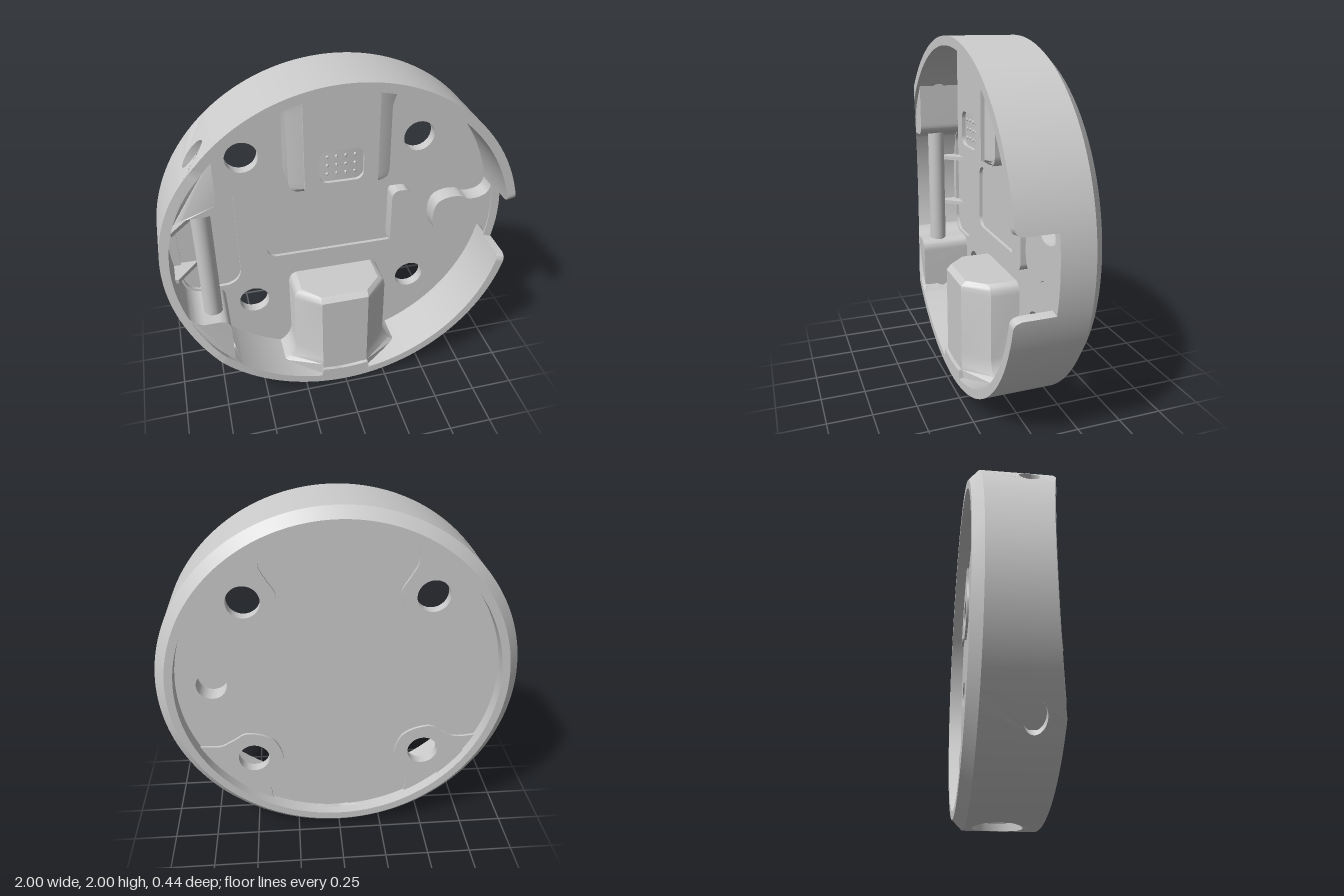
import * as THREE from 'three';
import { toCreasedNormals } from 'three/addons/utils/BufferGeometryUtils.js';

const FRONT = 0.22, BACK = -0.225, FLOOR = -0.1;
const material = new THREE.MeshStandardMaterial({ color: 0xcccccc });

// The front is cut down along a slanted plane towards -x
const slant = (x, z) => Math.min(z, 0.15 + 0.28 * (x + 1));

function remap(geometry, rule) {
  const p = geometry.attributes.position;
  for (let i = 0; i < p.count; i++) p.setXYZ(i, ...rule(p.getX(i), p.getY(i), p.getZ(i)));
  return geometry;
}

function mesh(name, geometry) {
  geometry.computeVertexNormals();
  const m = new THREE.Mesh(toCreasedNormals(geometry, 0.5), material);
  m.name = name;
  return m;
}

// Flat shape extruded from z0 to z1
function slab(name, shape, z0, z1) {
  const g = new THREE.ExtrudeGeometry(shape, { depth: z1 - z0, bevelEnabled: false, curveSegments: 48 });
  g.translate(0, 0, z0);
  return mesh(name, remap(g, (x, y, z) => [x, y, slant(x, z)]));
}

// Surface through closed cross-sections, with an optional cap on the first one
function loft(sections, cap) {
  const n = sections[0].length, index = [];
  for (let i = 0; i < sections.length - 1; i++) {
    for (let j = 0; j < n; j++) {
      const a = i * n + j, b = i * n + (j + 1) % n;
      index.push(a, a + n, b, b, a + n, b + n);
    }
  }
  if (cap) for (let j = 1; j < n - 1; j++) index.push(0, j, j + 1);
  const g = new THREE.BufferGeometry();
  g.setAttribute('position', new THREE.Float32BufferAttribute(sections.flat(2), 3));
  g.setIndex(index);
  return g;
}

const circle = (x, y, r) => new THREE.Shape().absarc(x, y, r, 0, Math.PI * 2);

function roundRect(x0, y0, x1, y1, r) {
  const s = new THREE.Shape();
  s.absarc(x1 - r, y1 - r, r, 0, Math.PI / 2);
  s.absarc(x0 + r, y1 - r, r, Math.PI / 2, Math.PI);
  s.absarc(x0 + r, y0 + r, r, Math.PI, Math.PI * 1.5);
  s.absarc(x1 - r, y0 + r, r, Math.PI * 1.5, Math.PI * 2);
  s.closePath();
  return s;
}

// Shape mirrored in y: spline through the half points, closed by an arc of radius r
function mirroredLobe(half, r) {
  const pts = half.concat(half.slice(0, -1).reverse().map(([x, y]) => [x, -y]));
  const curve = new THREE.SplineCurve(pts.map(([x, y]) => new THREE.Vector2(x, y)));
  const s = new THREE.Shape(curve.getPoints(64));
  const a = Math.atan2(half[0][1], half[0][0]);
  s.absarc(0, 0, r, -a, a);
  return s;
}

// Rim wall swept around the axis; lowered at the notch and where panels with holes sit
function rimWall(panels) {
  const spans = [[-0.2, 0.2, 0.01]];
  let from = 0.2;
  for (const { at, w } of panels) {
    spans.push([from, at - w, FRONT], [at - w, at + w, -0.17]);
    from = at + w;
  }
  spans.push([from, Math.PI * 2 - 0.2, FRONT], [Math.PI * 2 - 0.2, Math.PI * 2 - 0.2, 0.01]);
  const sections = [];
  for (const [a0, a1, front] of spans) {
    const n = Math.max(1, Math.ceil((a1 - a0) / 0.012));
    for (let i = 0; i <= n; i++) {
      const a = a0 + (a1 - a0) * i / n;
      const d = Math.min(Math.abs(a), Math.PI * 2 - a) - 0.2;
      let f = front;
      if (front === FRONT && d < 0.04) f -= 0.04 - Math.sqrt(Math.max(0, 0.0016 - (0.04 - d) ** 2));
      sections.push([[0.9, -0.12], [0.9, BACK], [0.945, BACK], [1, -0.17], [1, f], [0.95, f], [0.95, -0.12]]
        .map(([r, z]) => [r * Math.cos(a), r * Math.sin(a), slant(r * Math.cos(a), Math.min(z, f))]));
    }
  }
  return mesh('rimWall', loft(sections));
}

// Piece of rim wall with a hole, drawn flat and bent to the rim
function holePanel({ name, at, w, rx, rz, z, inner }) {
  const pts = [], n = 20;
  for (let i = 0; i <= n; i++) pts.push(new THREE.Vector2(-w + 2 * w * i / n, -0.17));
  for (let i = n; i >= 0; i--) pts.push(new THREE.Vector2(-w + 2 * w * i / n, FRONT));
  const s = new THREE.Shape(pts);
  s.holes.push(new THREE.Path().absellipse(0, z, rx, rz, 0, Math.PI * 2));
  const g = new THREE.ExtrudeGeometry(s, { depth: 1 - inner, bevelEnabled: false, curveSegments: 32 });
  return mesh(name, remap(g, (x, y, d) => {
    const px = (inner + d) * Math.cos(at + x), py = (inner + d) * Math.sin(at + x);
    return [px, py, slant(px, y)];
  }));
}

// Block running from a chamfered free end to the rim, where it flares out
function rimBlock(name, start, face, shoulder, top) {
  const stations = [[0, 0.235, 0.03], [0.015, 0.262, 0.015], [0.03, 0.272, 0], [0.06, 0.28, 0],
    [0.44, 0.28, 0], [0.49, 0.295, 0], [0.53, 0.325, 0], [0.56, 0.37, 0], [0.7, 0.37, 0]];
  const sections = stations.map(([d, w, drop]) =>
    [[w, FLOOR - 0.02], [w, shoulder], [face, top - drop], [-face, top - drop], [-w, shoulder], [-w, FLOOR - 0.02]]
      .map(([x, z]) => [x, Math.min(start + d, Math.sqrt(0.97 ** 2 - x * x)), z]));
  return mesh(name, loft(sections, true));
}

export function createModel() {
  const model = new THREE.Group();
  model.name = 'roundBaseHousing';
  const body = new THREE.Group();
  body.name = 'body';
  body.position.y = 1;
  model.add(body);

  // Rim with two pin holes and a socket opening
  const pinAngle = Math.atan2(0.66, -0.75);
  const pin = { w: 0.12, rx: 0.083, rz: 0.055, z: 0.08, inner: 0.95 };
  const panels = [
    { ...pin, name: 'upperPinHole', at: pinAngle },
    { ...pin, name: 'lowerPinHole', at: Math.PI * 2 - pinAngle },
    { name: 'socketOpening', at: Math.PI * 1.5, w: 0.16, rx: 0.13, rz: 0.13, z: 0, inner: 0.9 },
  ];
  body.add(rimWall(panels), ...panels.map(holePanel));

  // Floor in two layers: through holes in both, shallow pockets in the front one
  const screws = [[0.5, 0.5], [-0.5, 0.5], [-0.5, -0.5], [0.5, -0.5]];
  const drill = (shape) => {
    for (const [x, y] of screws) shape.holes.push(circle(x, y, 0.09));
    shape.holes.push(circle(0.705, 0, 0.085));
    return shape;
  };
  const backLayer = drill(circle(0, 0, 0.96)), frontLayer = drill(circle(0, 0, 0.96));
  frontLayer.holes.push(roundRect(-0.4, -0.19, 0.45, 0.2, 0.06), roundRect(-0.9, -0.35, -0.565, 0.36, 0.1));
  body.add(slab('floorBack', backLayer, -0.145, -0.12), slab('floorFront', frontLayer, -0.12, FLOOR));

  // Raised lobes round the screw holes on the back
  screws.forEach(([x, y]) => {
    const lobe = mirroredLobe([[0.86, 0.29], [0.78, 0.2], [0.7, 0.172], [0.6, 0.137], [0.537, 0]], 0.91);
    lobe.holes.push(circle(Math.SQRT1_2, 0, 0.09));
    const m = slab('screwLobe', lobe, -0.16, -0.145);
    m.rotation.z = Math.atan2(y, x);
    body.add(m);
  });

  // Raised pad beside the notch, hollow from behind
  const padHalf = [[0.94, 0.195], [0.92, 0.13], [0.87, 0.1], [0.8, 0.098], [0.75, 0.123], [0.67, 0.125], [0.605, 0.09], [0.585, 0]];
  const padBase = mirroredLobe(padHalf, 0.96);
  padBase.holes.push(circle(0.705, 0, 0.085));
  body.add(slab('padBase', padBase, FLOOR, -0.04), slab('padTop', mirroredLobe(padHalf, 0.96), -0.04, 0));

  // Lug in the centre pocket
  body.add(slab('centreLug', roundRect(0.335, -0.19, 0.45, 0.2, 0.045), -0.13, -0.03));

  // Upper block with a shallow window and contact dots
  body.add(rimBlock('upperBlock', 0.34, 0.2, 0.05, 0.08));
  const plate = new THREE.Shape([[-0.2, 0.365], [0.2, 0.365], [0.2, 0.935], [-0.2, 0.935]].map((p) => new THREE.Vector2(...p)));
  plate.holes.push(roundRect(-0.12, 0.4, 0.12, 0.59, 0.045));
  body.add(slab('upperBlockFace', plate, 0.075, 0.1));
  for (let i = 0; i < 4; i++) {
    for (let j = 0; j < 3; j++) {
      const dot = mesh('contactDot', new THREE.SphereGeometry(0.009, 8, 6));
      dot.position.set((i - 1.5) * 0.05, 0.495 + (j - 1) * 0.05, 0.08);
      body.add(dot);
    }
  }

  // Lower block and the socket it houses
  const lower = rimBlock('lowerBlock', 0.33, 0.14, 0.07, 0.2);
  lower.rotation.z = Math.PI;
  body.add(lower);
  const base = mesh('socketBase', new THREE.CylinderGeometry(0.132, 0.132, 0.03, 40));
  base.position.set(0, -0.9, 0);
  const ring = mesh('socketRing', new THREE.TorusGeometry(0.118, 0.014, 8, 40).rotateX(Math.PI / 2));
  ring.position.set(0, -0.94, 0);
  body.add(base, ring);
  for (let i = 0; i < 7; i++) {
    const p = mesh('socketPin', new THREE.CylinderGeometry(0.012, 0.012, 0.05, 10));
    const a = i * Math.PI / 3, r = i < 6 ? 0.065 : 0;
    p.position.set(r * Math.cos(a), -0.925, r * Math.sin(a));
    body.add(p);
  }

  // Crossbar held between two bosses, with small ribs behind it
  const bar = mesh('crossbar', new THREE.CylinderGeometry(0.052, 0.052, 1.16, 32));
  bar.position.set(-0.755, 0, 0.08);
  body.add(bar);
  for (const s of [1, -1]) {
    const boss = new THREE.Shape();
    boss.moveTo(-0.67, 0.69);
    boss.lineTo(-0.67, 0.43);
    boss.quadraticCurveTo(-0.67, 0.36, -0.74, 0.36);
    boss.lineTo(-0.82, 0.36);
    boss.quadraticCurveTo(-0.89, 0.35, -0.92, 0.27);
    boss.absarc(0, 0, 0.96, Math.PI - 0.285, 2.342, true);
    const pts = boss.getPoints(16).map((p) => new THREE.Vector2(p.x, p.y * s));
    body.add(slab('barBoss', new THREE.Shape(pts), -0.13, 0.2));

    const side = new THREE.Shape([[-0.955, -0.13], [-0.79, -0.13], [-0.92, 0.03], [-0.955, 0.03]].map((p) => new THREE.Vector2(...p)));
    const rib = new THREE.ExtrudeGeometry(side, { depth: 0.025, bevelEnabled: false });
    rib.translate(0, 0, -0.0125).rotateX(Math.PI / 2).translate(0, 0.158 * s, 0);
    body.add(mesh('rib', rib));
  }
  return model;
}
